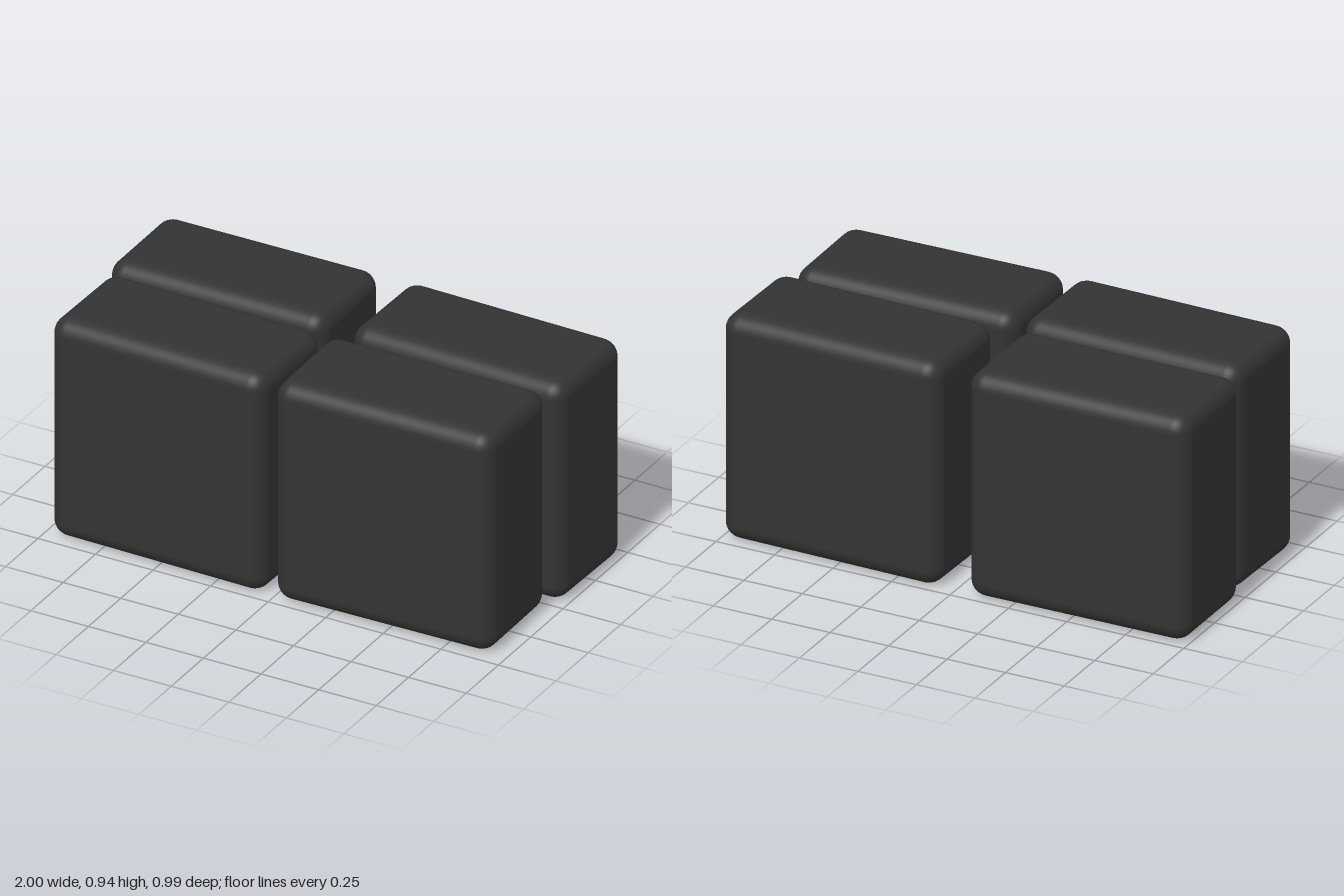
import * as THREE from 'three';
import { RoundedBoxGeometry } from 'three/addons/geometries/RoundedBoxGeometry.js';

// Four rounded blocks in two rows, each turned slightly by hand
export function createModel() {
  const group = new THREE.Group();
  group.name = 'blockStack';
  const material = new THREE.MeshStandardMaterial({ color: 0x333333 });
  const geometry = new RoundedBoxGeometry(0.94, 0.945, 0.47, 4, 0.07);

  // name, centre x, centre z, turn about y
  const blocks = [
    ['frontRightBlock', -0.5, 0.245, -0.02],
    ['frontLeftBlock', 0.473, 0.245, 0.013],
    ['backRightBlock', -0.53, -0.257, 0.004],
    ['backLeftBlock', 0.523, -0.254, -0.022],
  ];
  for (const [name, x, z, turn] of blocks) {
    const block = new THREE.Mesh(geometry, material);
    block.name = name;
    block.position.set(x, 0.4725, z);
    block.rotation.y = turn;
    group.add(block);
  }
  return group;
}
